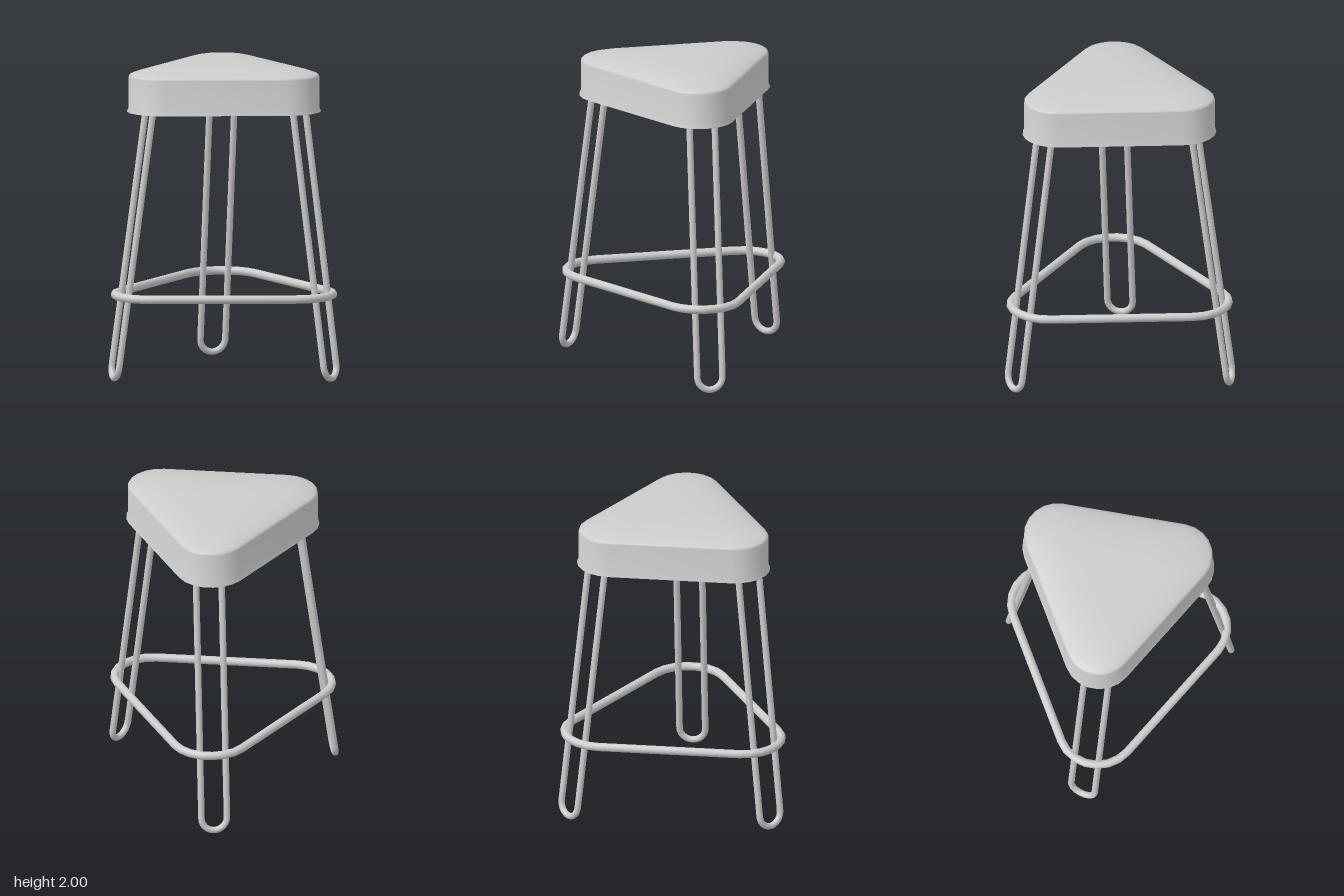
import * as THREE from 'three';
import { toCreasedNormals } from 'three/addons/utils/BufferGeometryUtils.js';

const CX = -0.14; // centre of the rounded triangle
const grey = new THREE.MeshStandardMaterial({ color: 0xcccccc });

// Rounded triangle pointing to +x: corner centres at distance d, corner radius r
function outline(d, r, y, steps = 7) {
  const points = [];
  for (let k = 0; k < 3; k++) {
    const mid = (k * Math.PI * 2) / 3;
    for (let i = 0; i <= steps; i++) {
      const a = mid + (i / steps - 0.5) * (Math.PI * 2) / 3;
      points.push([CX + d * Math.cos(mid) + r * Math.cos(a), y, d * Math.sin(mid) + r * Math.sin(a)]);
    }
  }
  return points;
}

// Skin a series of [d, r, y] outlines
function loft(profile, crease) {
  const rings = profile.map(([d, r, y]) => outline(d, r, y));
  const n = rings[0].length;
  const index = [];
  for (let j = 0; j < rings.length - 1; j++) {
    for (let i = 0; i < n; i++) {
      const a = j * n + i, b = j * n + ((i + 1) % n);
      index.push(a, a + n, b, b, a + n, b + n);
    }
  }
  const g = new THREE.BufferGeometry();
  g.setAttribute('position', new THREE.Float32BufferAttribute(rings.flat(2), 3));
  g.setIndex(index);
  return toCreasedNormals(g, crease);
}

function addMesh(parent, name, geometry) {
  const mesh = new THREE.Mesh(geometry, grey);
  mesh.name = name;
  parent.add(mesh);
}

// Hairpin leg: one bent rod with a rounded foot, leaning outward
function hairpinGeometry() {
  const half = 0.082, rod = 0.021, top = 1.76, bend = half + rod;
  const path = new THREE.Path();
  path.moveTo(half, top);
  path.lineTo(half, bend);
  path.absarc(0, bend, half, 0, Math.PI, true);
  path.lineTo(-half, top);
  const points = path.getSpacedPoints(140).map(
    (p) => new THREE.Vector3(0.236 * (1 - p.y / 1.72), p.y, p.x));
  return new THREE.TubeGeometry(new THREE.CatmullRomCurve3(points), 160, rod, 12);
}

export function createModel() {
  const stool = new THREE.Group();
  stool.name = 'stool';

  // Seat: recessed underside, flared hem, upright wall and shallow dome
  const D = 0.453, R = 0.214;
  const scaled = (s, y) => [D * s, R * s, y];
  addMesh(stool, 'seat', loft([
    scaled(0.001, 1.75), [D, R - 0.015, 1.75], [D, R - 0.012, 1.715],
    [D, R + 0.01, 1.715], [D, R + 0.009, 1.722], [D, R, 1.738],
    [D, R, 1.938], [D, R - 0.004, 1.948], [D, R - 0.014, 1.955],
    scaled(0.9, 1.967), scaled(0.75, 1.984), scaled(0.55, 1.995),
    scaled(0.3, 1.999), scaled(0.001, 2),
  ], 0.7));

  // Footrest: round bar following the rounded triangle
  const bar = [];
  for (let i = 0; i <= 14; i++) {
    const a = (i / 14) * Math.PI * 2;
    bar.push([0.517, 0.245 + 0.027 * Math.cos(a), 0.545 + 0.027 * Math.sin(a)]);
  }
  addMesh(stool, 'footrest', loft(bar, 0.8));

  // Legs: top position and heading of each hairpin
  const geometry = hairpinGeometry();
  const legs = [
    ['leftLeg', 0.411, 0, 0],
    ['frontRightLeg', -0.41, 0.483, -Math.PI * 0.75],
    ['backRightLeg', -0.41, -0.483, Math.PI * 0.75],
  ];
  for (const [name, x, z, turn] of legs) {
    const leg = new THREE.Group();
    leg.name = name;
    leg.position.set(x, 0, z);
    leg.rotation.y = turn;
    addMesh(leg, name + 'Rod', geometry);
    stool.add(leg);
  }
  return stool;
}
